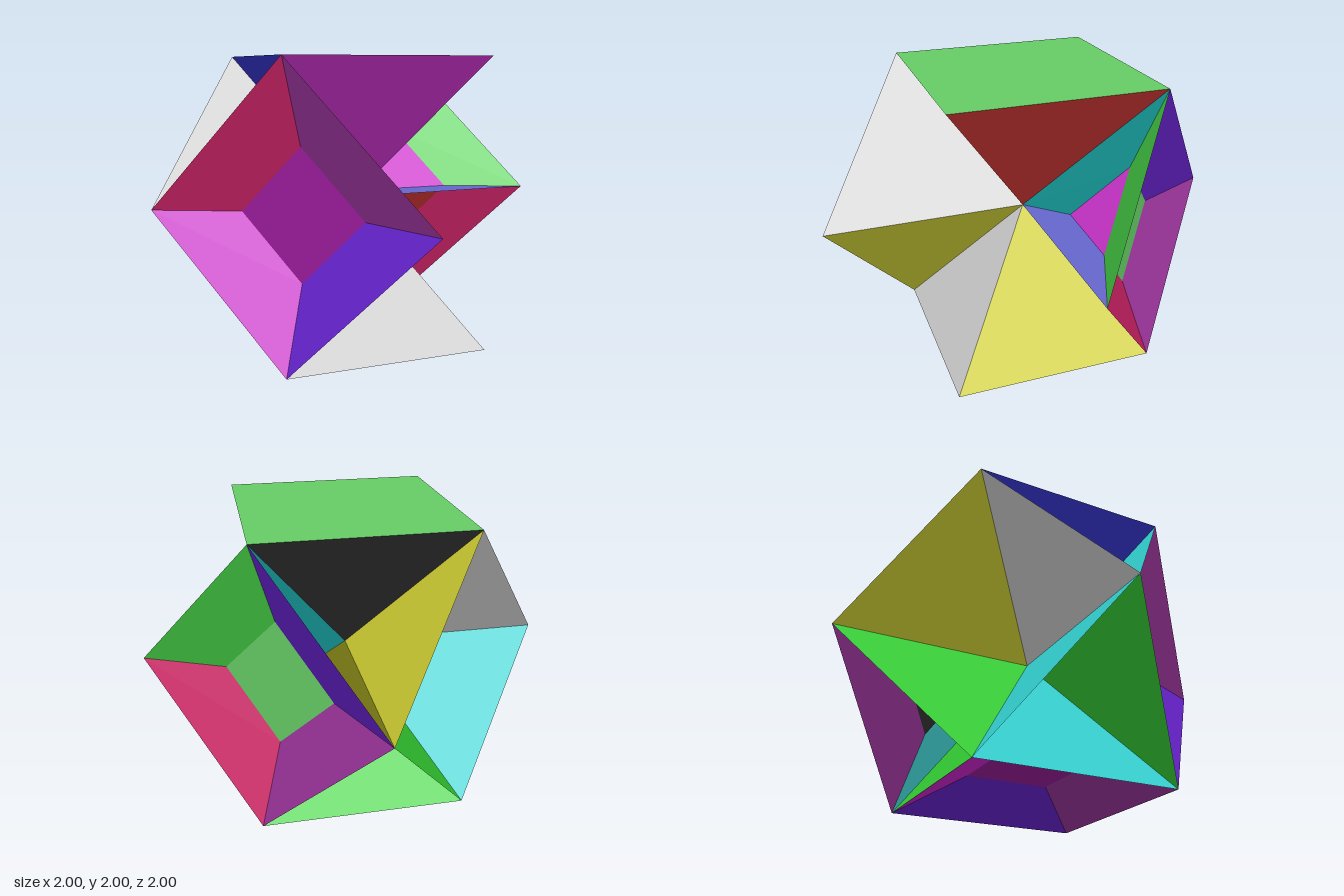
import * as THREE from 'three';

const INNER = 0.44, DEPTH = 0.78, TIP = 0.37; // recess floor half-diagonal, floor height, hidden tip height
const V = (x, y, z) => new THREE.Vector3(x, y, z);
const X = V(1, 0, 0), Y = V(0, 1, 0), Z = V(0, 0, 1), O = V(0, 0, 0);
const neg = (a) => a.clone().negate();
// Point at a along one direction and b along another
const at = (p, a, q, b) => p.clone().multiplyScalar(a).addScaledVector(q, b);

// Flat convex panel through a loop of corners
function panel(name, color, pts) {
  const pos = [];
  for (let i = 1; i < pts.length - 1; i++)
    for (const p of [pts[0], pts[i], pts[i + 1]]) pos.push(p.x, p.y, p.z);
  const geo = new THREE.BufferGeometry();
  geo.setAttribute('position', new THREE.Float32BufferAttribute(pos, 3));
  geo.computeVertexNormals();
  const mat = new THREE.MeshStandardMaterial({ color, flatShading: true, side: THREE.DoubleSide });
  const mesh = new THREE.Mesh(geo, mat);
  mesh.name = name;
  return mesh;
}

// The four sides of a square whose corners lie on +-u and +-v
const sides = (u, v) => [[u, v], [u, neg(v)], [neg(u), v], [neg(u), neg(v)]];

// Triangular walls from a centre tip to the rim of a square
function addWalls(group, name, n, u, v, colors, tip = O, half = 1, height = 1) {
  sides(u, v).forEach(([a, b], i) =>
    group.add(panel(name, colors[i], [tip, at(n, height, a, half), at(n, height, b, half)])));
}

// Sunken square: four sloping borders and a flat floor
function addRecess(group, n, u, v, colors, floorColor) {
  sides(u, v).forEach(([a, b], i) =>
    group.add(panel('recessBorder', colors[i], [
      at(n, 1, a, 1), at(n, 1, b, 1), at(n, DEPTH, b, INNER), at(n, DEPTH, a, INNER)])));
  group.add(panel('recessFloor', floorColor,
    [u, v, neg(u), neg(v)].map((d) => at(n, DEPTH, d, INNER))));
}

export function createModel() {
  const model = new THREE.Group();
  model.name = 'foldedPolyhedron';
  const part = (name) => {
    const g = new THREE.Group();
    g.name = name;
    g.position.y = 1;
    model.add(g);
    return g;
  };
  const outer = [0xcccccc, 0xcccc33, 0x33cccc, 0x33cc33];
  const under = [0xcc33cc, 0xcc3333, 0x3333cc, 0x333333];
  const border = [0x993399, 0x6622cc, 0xcc2266, 0xcc22cc];
  const down = neg(Y), right = neg(X), back = neg(Z);

  // Top pyramid, closed by a flat square
  const top = part('topPyramid');
  addWalls(top, 'topWall', Y, X, Z, under);
  top.add(panel('topSquare', 0x66cc66, [X, Z, right, back].map((d) => at(Y, 1, d, 1))));

  // Front and bottom pyramids, each with a sunken square
  const front = part('frontPyramid');
  addWalls(front, 'frontWall', Z, X, Y, outer);
  addRecess(front, Z, X, Y, border, 0x991a99);
  const bottom = part('bottomPyramid');
  addWalls(bottom, 'bottomWall', down, X, Z, outer);
  addRecess(bottom, down, X, Z, border, 0x991a99);

  // Open pyramid on the -x side; the +x side stays empty
  addWalls(part('sidePyramid'), 'sideWall', right, Y, Z, outer);

  // Back: sunken square with a small inward pyramid, held by crossed fins
  const rear = part('backSquare');
  addRecess(rear, back, X, Y, [0x44cc44, 0xcc2266, 0x6622cc, 0x993399], 0x66cc66);
  const tip = at(back, TIP, X, 0);
  addWalls(rear, 'inwardPyramidWall', back, X, Y, under, tip, INNER, DEPTH);
  [[X, 0x6666cc], [right, 0x707012], [Y, 0x169999], [down, 0x169999]].forEach(([d, color]) =>
    rear.add(panel('crossFin', color, [O, at(back, 1, d, 1), at(back, DEPTH, d, INNER), tip])));

  return model;
}
